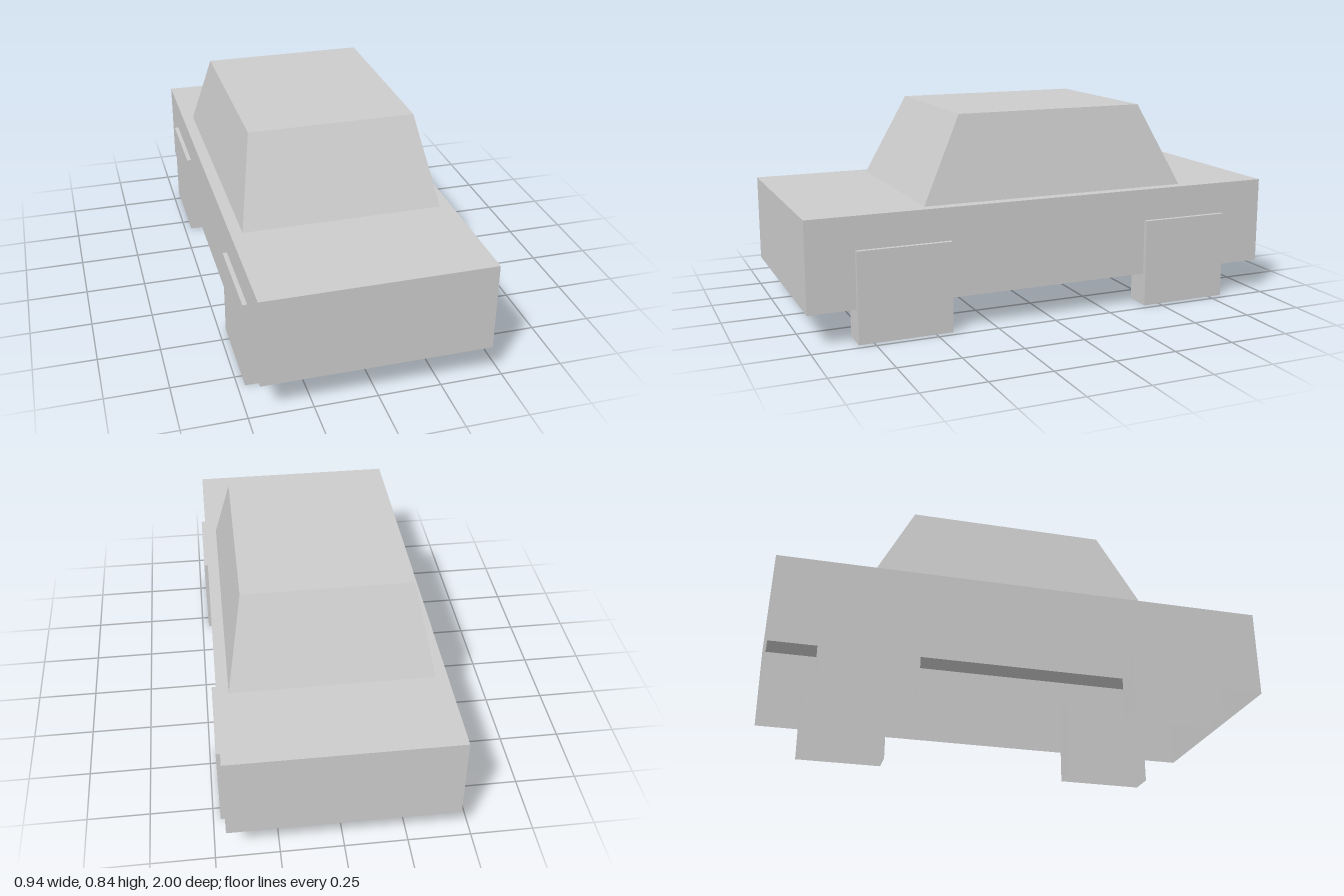
import * as THREE from 'three';

// Box shell with an open underside, spanning the given limits
function openBox(x0, x1, y0, y1, z0, z1) {
  const geo = new THREE.BoxGeometry(x1 - x0, y1 - y0, z1 - z0);
  geo.translate((x0 + x1) / 2, (y0 + y1) / 2, (z0 + z1) / 2);
  const index = Array.from(geo.index.array);
  index.splice(18, 6); // the downward face
  geo.setIndex(index);
  geo.clearGroups();
  return geo;
}

export function createModel() {
  const group = new THREE.Group();
  const grey = new THREE.MeshStandardMaterial({ color: 0xcccccc, side: THREE.DoubleSide, flatShading: true });
  grey.name = 'plain grey';

  const add = (name, geo) => {
    const mesh = new THREE.Mesh(geo, grey);
    mesh.name = name;
    group.add(mesh);
  };

  // Lower body
  add('body', openBox(-0.453, 0.453, 0.135, 0.497, -1, 1));

  // Cabin: a box whose roof corners are drawn inwards
  const cabin = openBox(-0.405, 0.405, 0.497, 0.838, -0.62, 0.52);
  const pos = cabin.attributes.position;
  for (let i = 0; i < pos.count; i++) {
    if (pos.getY(i) < 0.6) continue;
    pos.setX(i, Math.sign(pos.getX(i)) * 0.338);
    pos.setZ(i, pos.getZ(i) > 0 ? 0.35 : -0.45);
  }
  cabin.computeVertexNormals();
  add('cabin', cabin);

  // Four square wheels
  for (const [side, sx] of [['Left', 1], ['Right', -1]]) {
    for (const [end, sz] of [['front', 1], ['rear', -1]]) {
      const geo = openBox(-0.057, 0.057, 0, 0.365, -0.19, 0.19);
      geo.translate(sx * 0.414, 0, sz * 0.62);
      add(end + side + 'Wheel', geo);
    }
  }
  return group;
}
